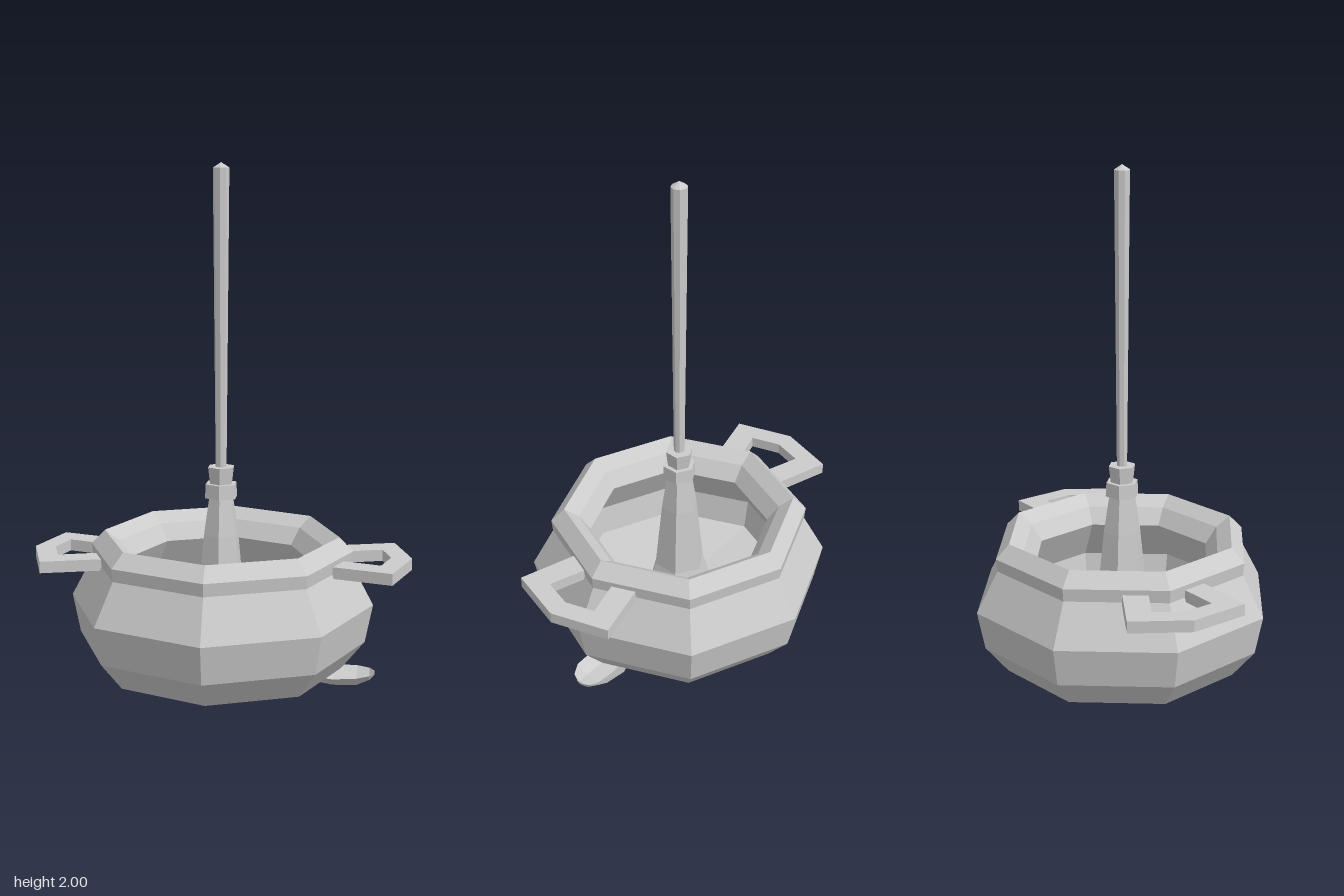
import * as THREE from 'three';

const material = new THREE.MeshStandardMaterial({ color: 0xcccccc, flatShading: true });
const doubleMaterial = new THREE.MeshStandardMaterial({ color: 0xcccccc, flatShading: true, side: THREE.DoubleSide });

function part(name, geometry, mat = material) {
  const mesh = new THREE.Mesh(geometry, mat);
  mesh.name = name;
  return mesh;
}

function lathe(points, sides) {
  return new THREE.LatheGeometry(points.map(([r, y]) => new THREE.Vector2(r, y)), sides);
}

// Skins a closed cross-section along the stations, with capped ends.
function loft(sections) {
  const n = sections[0].length;
  const index = [];
  for (let i = 0; i < sections.length - 1; i++) {
    for (let j = 0; j < n; j++) {
      const a = i * n + j, b = i * n + (j + 1) % n;
      index.push(a, a + n, b, b, a + n, b + n);
    }
  }
  const last = (sections.length - 1) * n;
  for (let j = 1; j < n - 1; j++) {
    index.push(0, j, j + 1, last, last + j + 1, last + j);
  }
  const geometry = new THREE.BufferGeometry();
  geometry.setAttribute('position', new THREE.Float32BufferAttribute(sections.flat(2), 3));
  geometry.setIndex(index);
  geometry.computeVertexNormals();
  return geometry;
}

// Flat U-shaped grip on the +x side
function handleGeometry() {
  const outline = [
    [0.44, -0.16], [0.665, -0.225], [0.735, 0], [0.665, 0.225], [0.44, 0.16],
    [0.475, 0.07], [0.62, 0.115], [0.655, 0], [0.62, -0.115], [0.475, -0.07],
  ];
  const shape = new THREE.Shape(outline.map(([x, z]) => new THREE.Vector2(x, z)));
  const geometry = new THREE.ExtrudeGeometry(shape, { depth: 0.045, bevelEnabled: false });
  return geometry.rotateX(Math.PI / 2).translate(0, 0.51, 0);
}

// Spoon lying along x: each station is x, half width, rim height, middle height, underside height
function spoonGeometry() {
  const stations = [
    [-0.34, 0.02, 0.045, 0.045, 0.03],
    [-0.28, 0.028, 0.043, 0.043, 0.027],
    [-0.1, 0.014, 0.038, 0.038, 0.024],
    [0.2, 0.011, 0.036, 0.036, 0.02],
    [0.32, 0.018, 0.038, 0.034, 0.02],
    [0.37, 0.06, 0.041, 0.026, 0.012],
    [0.44, 0.088, 0.044, 0.016, 0.005],
    [0.53, 0.08, 0.047, 0.018, 0.006],
    [0.58, 0.05, 0.049, 0.03, 0.024],
    [0.6, 0.015, 0.05, 0.047, 0.041],
  ];
  return loft(stations.map(([x, w, rim, middle, under]) => [
    [x, rim, w], [x, middle, w * 0.4], [x, middle, -w * 0.4], [x, rim, -w],
    [x, under, -w * 0.45], [x, under, w * 0.45],
  ]));
}

export function createModel() {
  const model = new THREE.Group();
  model.name = 'potWithPost';

  // Eight-sided pot: underside, belly, neck, rim and inner wall in one profile
  model.add(part('pot', lathe([
    [0, 0.03], [0.47, 0.06], [0.56, 0.17], [0.59, 0.32], [0.505, 0.48], [0.51, 0.53],
    [0.457, 0.585], [0.4, 0.585 - 0.04], [0.355, 0.48], [0.45, 0.32], [0.43, 0.2], [0, 0.16],
  ], 8)));

  // Mirrored side handles
  const grip = handleGeometry();
  for (const side of ['left', 'right']) {
    const handle = part(side + 'Handle', grip);
    if (side === 'right') handle.rotation.y = Math.PI;
    model.add(handle);
  }

  // Six-sided flared post with two collars
  model.add(part('postBase', lathe([
    [0, 0.02], [0.14, 0.02], [0.145, 0.16], [0.105, 0.3], [0.075, 0.585], [0.052, 0.73], [0, 0.73],
  ], 6).scale(0.95, 1, 1)));
  model.add(part('lowerCollar', lathe([
    [0, 0.73], [0.067, 0.73], [0.064, 0.785], [0, 0.785],
  ], 6)));
  model.add(part('upperCollar', lathe([
    [0, 0.785], [0.046, 0.785], [0.054, 0.85], [0, 0.85],
  ], 6)));

  // Slim rod, widening towards a blunt tip
  model.add(part('rod', lathe([
    [0, 0.84], [0.021, 0.84], [0.031, 1.98], [0, 2],
  ], 8)));

  // Spoon beneath the pot
  model.add(part('spoon', spoonGeometry(), doubleMaterial));

  return model;
}
